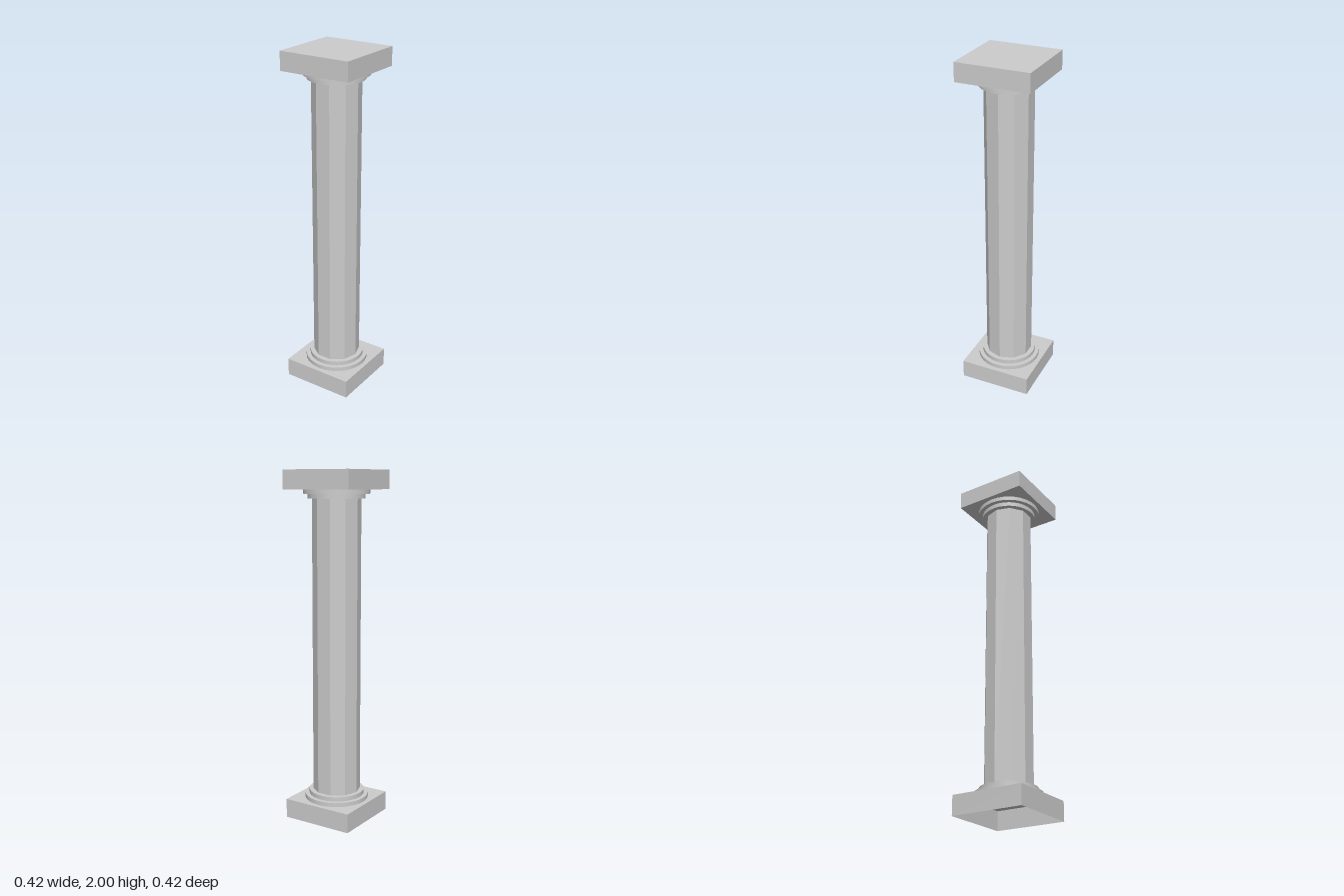
import * as THREE from 'three';

const HALF = 0.212; // half width of the square blocks

export function createModel() {
  const group = new THREE.Group();
  const smooth = new THREE.MeshStandardMaterial({ color: 0xcccccc });
  const flat = new THREE.MeshStandardMaterial({ color: 0xcccccc, flatShading: true });
  const shell = new THREE.MeshStandardMaterial({ color: 0xcccccc, flatShading: true, side: THREE.DoubleSide });

  // Adds a part spanning the heights y0 to y1
  const add = (name, geometry, material, y0, y1) => {
    const mesh = new THREE.Mesh(geometry, material);
    mesh.name = name;
    mesh.position.y = (y0 + y1) / 2;
    group.add(mesh);
  };
  const block = (h) => new THREE.BoxGeometry(HALF * 2, h, HALF * 2);
  const ring = (name, r, y0, y1) =>
    add(name, new THREE.CylinderGeometry(r, r, y1 - y0, 32), smooth, y0, y1);

  // Plinth: hollow box, open underneath (the fourth box face is the bottom)
  const plinth = block(0.111);
  const index = Array.from(plinth.index.array);
  index.splice(18, 6);
  plinth.setIndex(index);
  plinth.clearGroups();
  add('plinth', plinth, shell, 0, 0.111);

  // Stepped base rings
  ring('lowerBaseRing', 0.185, 0.111, 0.135);
  ring('upperBaseRing', 0.16, 0.135, 0.16);

  // Ten-sided shaft, a flat side facing the front
  add('shaft', new THREE.CylinderGeometry(0.137, 0.137, 1.685, 10, 1, false, Math.PI / 2), flat, 0.16, 1.845);

  // Stepped capital rings and top slab
  ring('lowerCapitalRing', 0.16, 1.845, 1.87);
  ring('upperCapitalRing', 0.185, 1.87, 1.894);
  add('topSlab', block(0.106), flat, 1.894, 2);

  return group;
}
